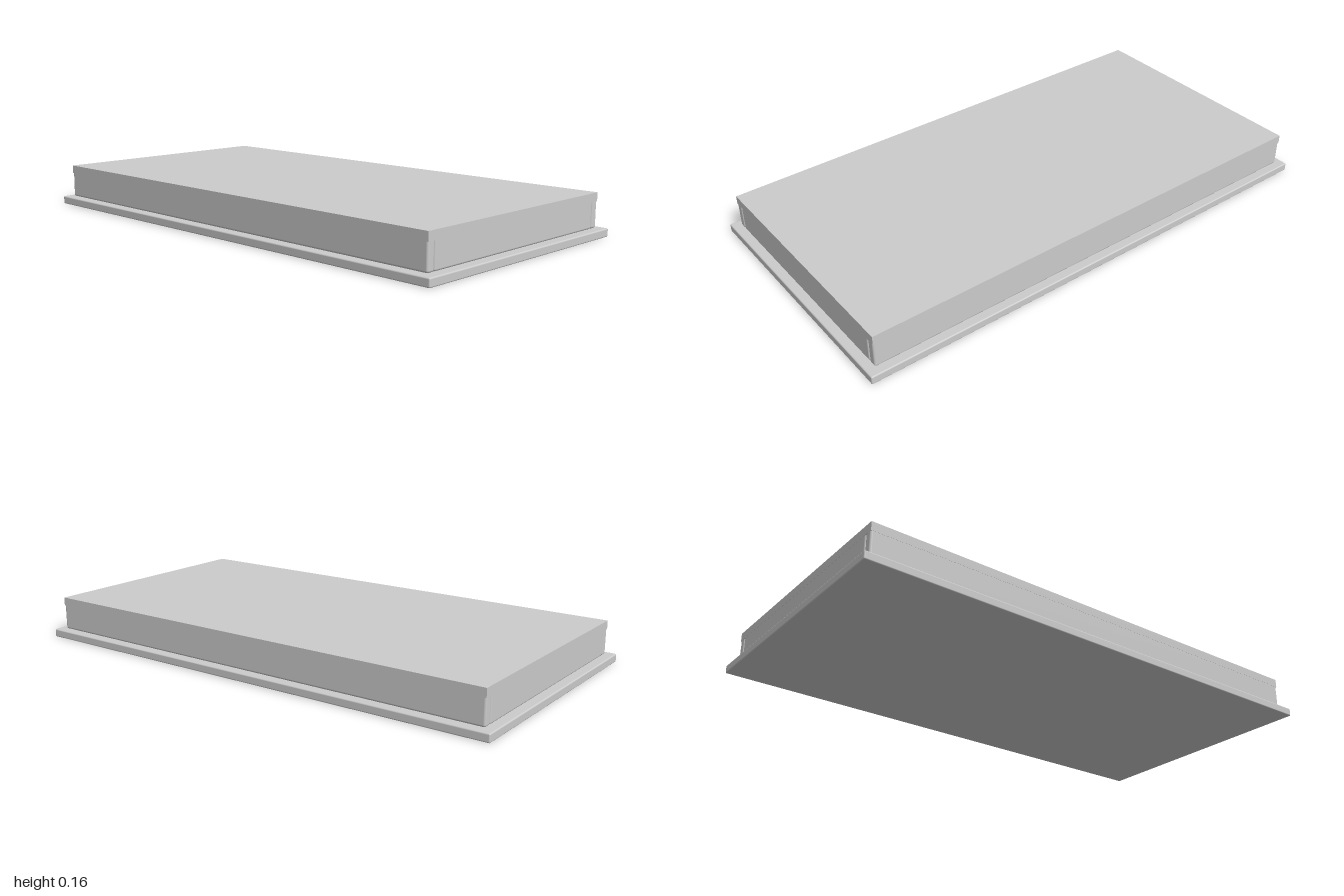
import * as THREE from 'three';
import { RoundedBoxGeometry } from 'three/addons/geometries/RoundedBoxGeometry.js';

export function createModel() {
  const model = new THREE.Group();
  const material = new THREE.MeshStandardMaterial({ color: 0xcccccc });
  const add = (name, geometry, x, y, z) => {
    const mesh = new THREE.Mesh(geometry, material);
    mesh.name = name;
    mesh.position.set(x, y, z);
    model.add(mesh);
  };

  const halfX = 0.967, halfZ = 0.485; // outer size of the tray walls
  const thick = 0.033;                // shared board thickness
  const plateTop = 0.032, slabBottom = 0.131, top = 0.164;

  // Wide base plate with softened edges
  add('basePlate', new RoundedBoxGeometry(2, plateTop, 1.032, 3, 0.005), 0, plateTop / 2, 0);

  // Sharp-edged top slab
  add('topSlab', new THREE.BoxGeometry(halfX * 2, top - slabBottom, halfZ * 2), 0, (top + slabBottom) / 2, 0);

  // Four rounded walls, their upper ends tucked into the slab
  const wallBottom = plateTop + 0.001, wallTop = 0.152, inset = 0.0005;
  const wallHeight = wallTop - wallBottom, wallY = (wallTop + wallBottom) / 2;
  const longWall = new RoundedBoxGeometry((halfX - inset) * 2, wallHeight, thick, 3, 0.008);
  const endWall = new RoundedBoxGeometry(thick, wallHeight, (halfZ - thick) * 2, 3, 0.008);
  for (const s of [1, -1]) {
    add(s > 0 ? 'frontWall' : 'backWall', longWall, 0, wallY, s * (halfZ - inset - thick / 2));
    add(s > 0 ? 'leftWall' : 'rightWall', endWall, s * (halfX - inset - thick / 2), wallY, 0);
  }
  return model;
}
